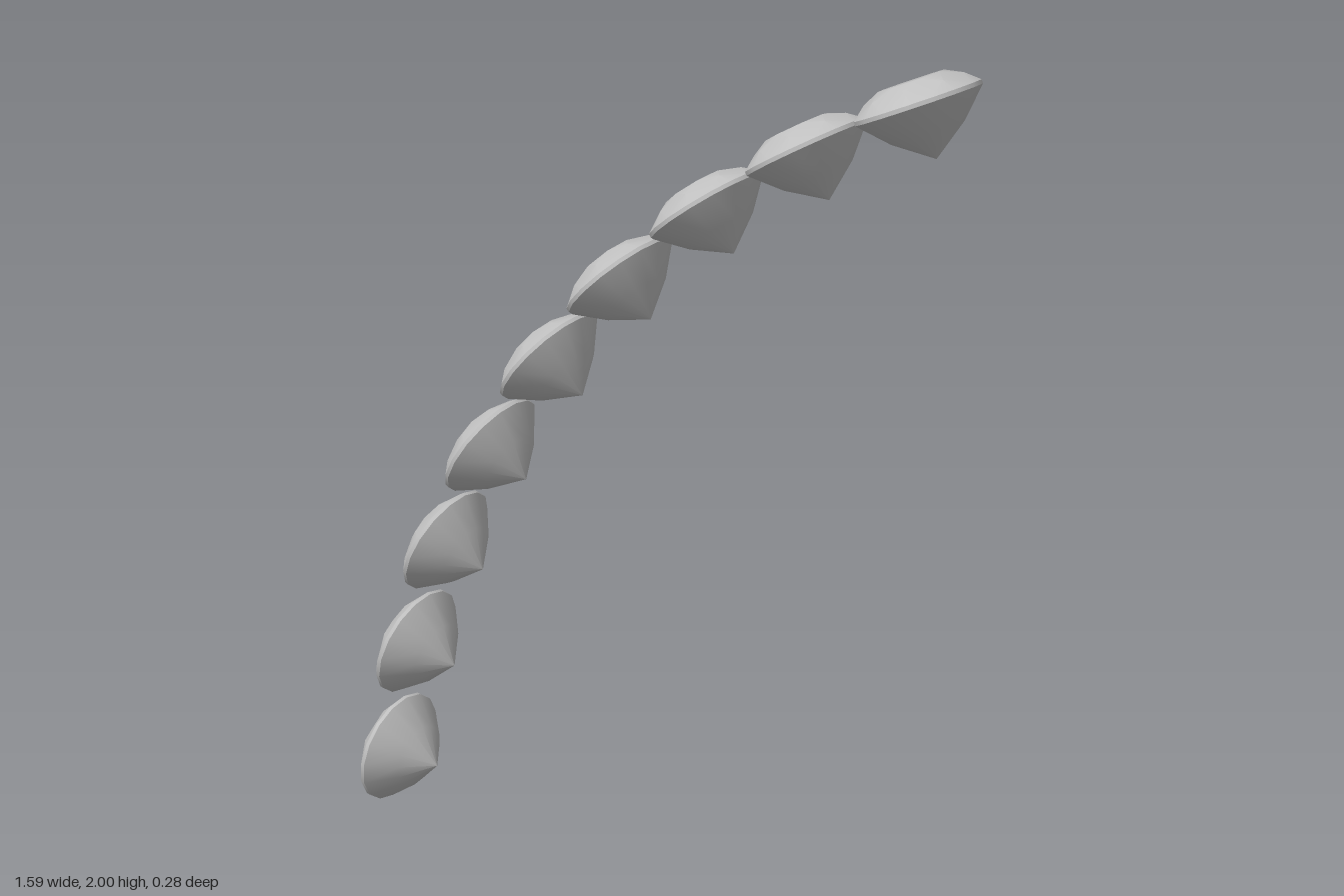
import * as THREE from 'three';
import { toCreasedNormals } from 'three/addons/utils/BufferGeometryUtils.js';

const R = 0.138; // girdle radius

// Ring of n points at a radius and height, turned by a phase in radians
function ring(n, r, y, phase = 0) {
  return Array.from({ length: n }, (_, i) => {
    const a = phase + (i / n) * Math.PI * 2;
    return new THREE.Vector3(r * Math.sin(a), y, r * Math.cos(a));
  });
}

// Faceted crown: octagonal table, star facets, kite facets and upper girdle facets
function crownGeometry() {
  const table = ring(8, 0.072, 0.045);
  const mid = ring(8, 0.108, 0.028, Math.PI / 8);
  const girdle = ring(16, R, 0.003);
  const top = new THREE.Vector3(0, 0.045, 0);
  const pts = [];
  const tri = (a, b, c) => pts.push(a, b, c);
  for (let i = 0; i < 8; i++) {
    const j = (i + 1) % 8;
    const g0 = girdle[2 * i], g1 = girdle[2 * i + 1], g2 = girdle[2 * j];
    tri(top, table[i], table[j]);
    tri(table[i], mid[i], table[j]);
    tri(table[i], g0, mid[i]);
    tri(table[j], mid[i], g2);
    tri(mid[i], g0, g1);
    tri(mid[i], g1, g2);
  }
  // Soften the shallow facet edges only
  return toCreasedNormals(new THREE.BufferGeometry().setFromPoints(pts), THREE.MathUtils.degToRad(20));
}

const lathe = (profile) =>
  new THREE.LatheGeometry(profile.map(([x, y]) => new THREE.Vector2(x, y)), 16);

export function createModel() {
  const model = new THREE.Group();
  model.name = 'gemArc';
  const stone = new THREE.MeshStandardMaterial({ color: 0xc0c0c0 });
  stone.name = 'light grey stone';

  const parts = {
    crown: crownGeometry(),
    girdle: lathe([[R, -0.006], [R, 0.003]]),
    pavilion: lathe([[0, -0.122], [0.08, -0.065], [R, -0.006]]),
  };

  // Gem centres along the arc
  const centres = [
    [-0.74, 0.137], [-0.677, 0.428], [-0.581, 0.708], [-0.444, 0.972], [-0.274, 1.218],
    [-0.078, 1.44], [0.15, 1.636], [0.4, 1.8], [0.668, 1.933],
  ];
  centres.forEach(([x, y], i) => {
    const gem = new THREE.Group();
    gem.name = `gem${i + 1}`;
    for (const [name, geo] of Object.entries(parts)) {
      const mesh = new THREE.Mesh(geo, stone);
      mesh.name = name;
      gem.add(mesh);
    }
    // Each gem lies along the arc with its table facing outward
    gem.position.set(x, y, 0);
    gem.rotation.z = THREE.MathUtils.degToRad(79.4 - 7.05 * i);
    model.add(gem);
  });
  return model;
}
